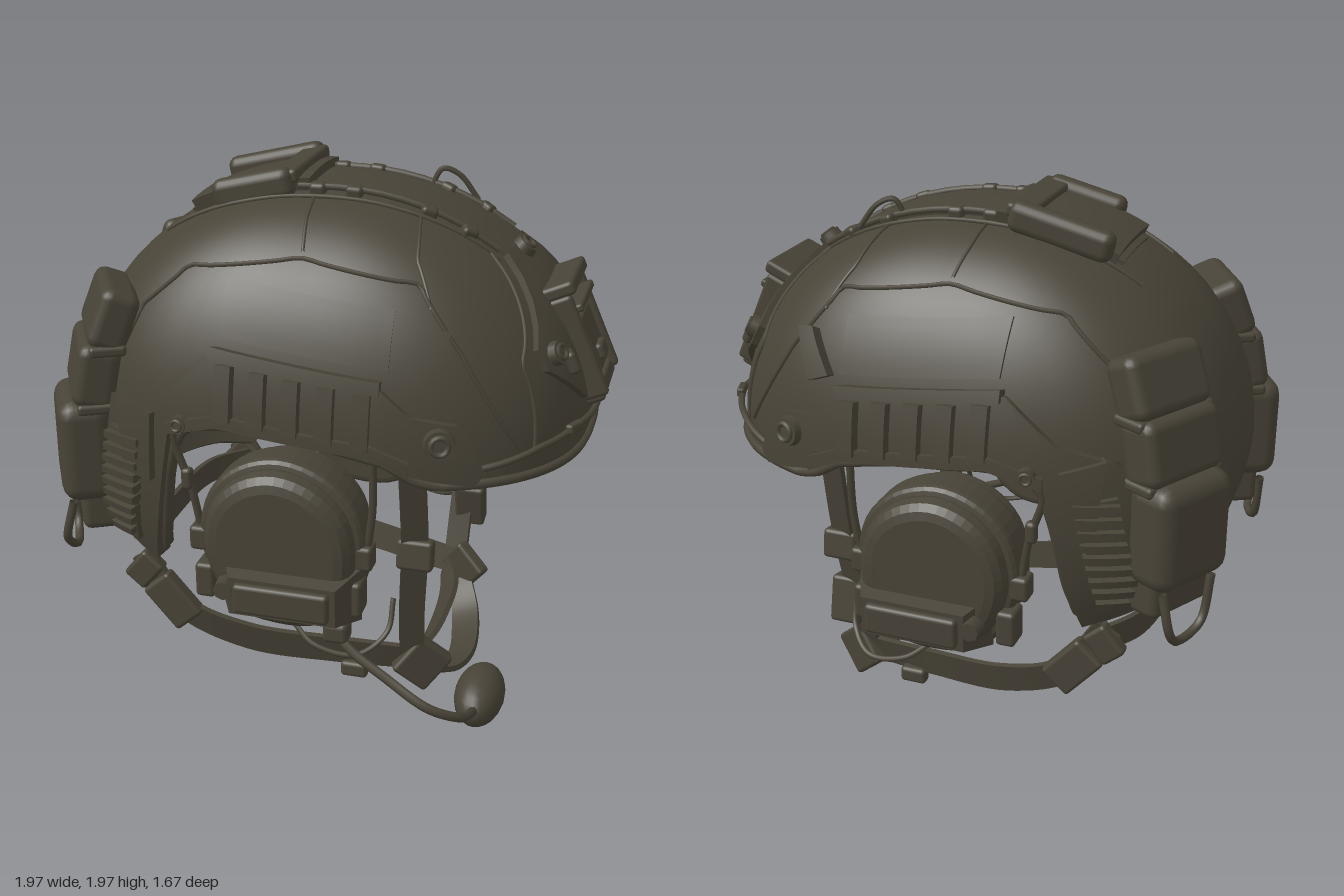
import * as THREE from 'three';
import { RoundedBoxGeometry } from 'three/addons/geometries/RoundedBoxGeometry.js';

const olive = new THREE.MeshStandardMaterial({ color: 0x484337, side: THREE.DoubleSide });
olive.name = 'dark olive';
const V = (x, y, z) => new THREE.Vector3(x, y, z);

// ---- helmet surface: front, back and half-width extents at each height
const N = 2.65, TOP = 1.9;
function extents(y) {
  const d = y - 1.1;
  if (d < 0) return { f: 0.94, b: 0.93 * (1 - 0.8 * d * d), w: 0.69 * (1 - 0.3 * d * d) };
  const c = Math.sqrt(Math.max(1e-6, 1 - (d / 0.8) ** 2));
  return { f: 0.94 * c ** 0.97, b: 0.93 * c ** 0.95, w: 0.69 * c ** 0.76 };
}
function field(x, y, z) {
  const e = extents(y);
  return Math.abs(x / (x > 0 ? e.f : e.b)) ** N + Math.abs(z / e.w) ** N - 1;
}
// point on the helmet along a ray from inside, lifted by off along the normal
function cast(o, d, off) {
  let lo = 0, hi = 1.3;
  const at = t => o.clone().addScaledVector(d, t);
  for (let i = 0; i < 30; i++) {
    const m = (lo + hi) / 2, p = at(m);
    if (p.y < TOP && field(p.x, p.y, p.z) < 0) lo = m; else hi = m;
  }
  const p = at(lo), h = 0.002, q = Math.min(p.y, TOP - 0.004);
  const n = V(field(p.x + h, q, p.z) - field(p.x - h, q, p.z),
    field(p.x, q + h, p.z) - field(p.x, q - h, p.z),
    field(p.x, q, p.z + h) - field(p.x, q, p.z - h)).normalize();
  p.addScaledVector(n, off);
  p.normal = n;
  return p;
}
const onSide = (x, y, off = 0) => cast(V(x, y, 0), V(0, 0, 1), off);
const onTop = (x, z, off = 0) => cast(V(x, 1.1, z), V(0, 1, 0), off);
const onFront = (z, y, off = 0) => cast(V(0, y, z), V(1, 0, 0), off);

// ---- helpers
function along(pts, u) {
  const t = u * (pts.length - 1), i = Math.min(pts.length - 2, Math.floor(t)), k = t - i;
  return pts[i].map((a, j) => a + (pts[i + 1][j] - a) * k);
}
function add(g, name, geo, x = 0, y = 0, z = 0, rx = 0, ry = 0, rz = 0) {
  const m = new THREE.Mesh(geo, olive);
  m.name = name;
  m.position.set(x, y, z);
  m.rotation.set(rx, ry, rz);
  g.add(m);
  return m;
}
const rbox = (w, h, d, r = 0.015) => new RoundedBoxGeometry(w, h, d, 2, r);
// box bent so that (u, v, w) follows fn
function bent(nu, nv, fn) {
  const geo = new THREE.BoxGeometry(1, 1, 1, nu, nv, 1), p = geo.attributes.position;
  for (let i = 0; i < p.count; i++) {
    const q = fn(p.getX(i) + 0.5, p.getY(i) + 0.5, p.getZ(i) + 0.5);
    p.setXYZ(i, q.x, q.y, q.z);
  }
  geo.computeVertexNormals();
  return geo;
}
// raised plate hugging the helmet between two edge lines
function plate(g, name, map, upper, lower, t, base = -0.02, nv = 6) {
  const nu = (upper.length - 1) * (upper.length > 2 ? 4 : 10);
  return add(g, name, bent(nu, nv, (u, v, w) => {
    const a = along(upper, u), b = along(lower, u);
    return map(b[0] + (a[0] - b[0]) * v, b[1] + (a[1] - b[1]) * v, base + (t - base) * w);
  }));
}
const rect = (x0, x1, y0, y1) => [[[x0, y1], [x1, y1]], [[x0, y0], [x1, y0]]];
function tube(g, name, pts, r, closed = false, n = pts.length * 8) {
  const c = new THREE.CatmullRomCurve3(pts.map(p => p.isVector3 ? p : V(...p)), closed);
  return add(g, name, new THREE.TubeGeometry(c, n, r, 7, closed));
}
function seam(g, name, map, pts, r = 0.008, off = 0.003) {
  const n = (pts.length - 1) * 5, list = [];
  for (let i = 0; i <= n; i++) list.push(map(...along(pts, i / n), off));
  return tube(g, name, list, r, false, n * 2);
}
// flat strap between two 3D edge curves
function strap(g, name, a, b, t = 0.02) {
  const ca = new THREE.CatmullRomCurve3(a.map(p => V(...p))), cb = new THREE.CatmullRomCurve3(b.map(p => V(...p)));
  return add(g, name, bent(a.length * 6, 1, (u, v, w) => {
    const p = ca.getPoint(u), q = cb.getPoint(u);
    const n = ca.getTangent(u).cross(p.clone().sub(q)).normalize();
    return q.lerp(p, v).addScaledVector(n, (w - 0.5) * t);
  }));
}
function stick(g, name, geo, p) {
  const m = add(g, name, geo, p.x, p.y, p.z);
  m.quaternion.setFromUnitVectors(V(0, 0, 1), p.normal);
}
function bolt(g, p, r) {
  stick(g, 'boltWasher', new THREE.CylinderGeometry(r, r * 1.1, 0.03, 16).rotateX(Math.PI / 2), p);
  stick(g, 'boltRing', new THREE.TorusGeometry(r * 0.6, r * 0.2, 6, 16).translate(0, 0, 0.018), p);
}

// ---- shell with high-cut ear openings: rim points (x, y) turned into (angle, y)
const RIM = [[0.94, 1.06], [0.5, 1.045], [0.42, 1.07], [0.35, 1.12], [0.12, 1.17], [-0.2, 1.2], [-0.34, 1.18], [-0.4, 1.12],
  [-0.43, 1], [-0.46, 0.8], [-0.49, 0.66], [-0.54, 0.6], [-0.66, 0.63], [-0.93, 0.66]].map(([x, y]) => {
  const e = extents(y), c = Math.min(1, Math.abs(x) / (x > 0 ? e.f : e.b)) ** (N / 2);
  return [Math.acos(Math.sign(x) * c), y];
});
function rimY(a) {
  const d = Math.abs(a), i = Math.max(1, RIM.findIndex(r => r[0] >= d - 1e-6));
  const [p, q] = [RIM[i - 1], RIM[i]];
  return p[1] + (q[1] - p[1]) * (d - p[0]) / (q[0] - p[0]);
}
function shellPoint(a, s, k = 0) {
  const r = rimY(a), y = r + (TOP - r) * Math.sin(s * Math.PI / 2), e = extents(y);
  const pw = v => Math.sign(v) * Math.abs(v) ** (2 / N), c = pw(Math.cos(a));
  return V(c * (c > 0 ? e.f : e.b) * (1 - k), r + (y - r) * (1 - k), pw(Math.sin(a)) * e.w * (1 - k));
}
function sheet(fn, nu, nv) {
  const pos = [], idx = [];
  for (let j = 0; j <= nv; j++) for (let i = 0; i <= nu; i++) {
    pos.push(...fn((i / nu * 2 - 1) * Math.PI, j / nv).toArray());
    const a = j * (nu + 1) + i, b = a + nu + 1;
    if (i < nu && j < nv) idx.push(a, b, a + 1, a + 1, b, b + 1);
  }
  const geo = new THREE.BufferGeometry();
  geo.setAttribute('position', new THREE.Float32BufferAttribute(pos, 3));
  geo.setIndex(idx);
  geo.computeVertexNormals();
  return geo;
}

function earCup(g) {
  const outline = [[0, 0.32], [0.16, 0.27], [0.27, 0.15], [0.3, -0.02], [0.26, -0.19], [0.14, -0.3], [-0.02, -0.32],
    [-0.16, -0.28], [-0.25, -0.17], [-0.3, 0], [-0.26, 0.17], [-0.15, 0.28]];
  const layer = (name, k, z, depth, bevel) => {
    const pts = new THREE.CatmullRomCurve3(outline.map(p => V(p[0] * k, p[1] * k, 0)), true).getPoints(48).slice(0, -1);
    add(g, name, new THREE.ExtrudeGeometry(new THREE.Shape(pts), { depth, bevelEnabled: true, bevelSize: bevel,
      bevelThickness: bevel, bevelOffset: -bevel, bevelSegments: 3 }), -0.02, 0.775, z);
  };
  layer('earCushion', 0.92, 0.5, 0.05, 0.03);
  layer('earCup', 1, 0.57, 0.09, 0.03);
  layer('earCupCap', 0.9, 0.67, 0.03, 0.06);
  // control box tapering outward
  add(g, 'earCupControlBox', bent(1, 1, (u, v, w) => V(0.02 + (u - 0.5) * (0.5 - 0.12 * w), 0.625 + (v - 0.5) * (0.2 - 0.06 * w), 0.68 + 0.13 * w)));
  add(g, 'earCupControlPlate', rbox(0.34, 0.11, 0.04), 0.02, 0.625, 0.815);
  add(g, 'earCupKnob', new THREE.CylinderGeometry(0.035, 0.04, 0.05, 8), -0.19, 0.64, 0.79, Math.PI / 2);
  for (const x of [-0.32, 0.27]) {
    add(g, 'wireSocket', rbox(0.07, 0.09, 0.08), x, 0.76, 0.65);
    add(g, 'sideBracket', rbox(0.07, 0.13, 0.1), x * 0.9, 0.62, 0.68);
  }
  tube(g, 'rearWireArm', [[-0.32, 0.78, 0.65], [-0.35, 0.95, 0.66], [-0.4, 1.12, 0.67], [-0.38, 1.2, 0.69]], 0.014);
  tube(g, 'frontWireArm', [[0.28, 0.78, 0.65], [0.3, 0.95, 0.66], [0.3, 1.18, 0.67]], 0.014);
  add(g, 'wireCollar', rbox(0.04, 0.08, 0.04), -0.36, 0.98, 0.665);
  tube(g, 'earCupCable', [[0.02, 0.46, 0.66], [0.1, 0.41, 0.7], [0.25, 0.38, 0.68], [0.34, 0.44, 0.6], [0.35, 0.55, 0.55]], 0.01);
}

function halfParts() {
  const g = new THREE.Group();
  // accessory rail around the opening
  plate(g, 'sideRail', onSide,
    [[-0.72, 0.7], [-0.63, 1.24], [-0.43, 1.3], [-0.26, 1.44], [0.3, 1.39], [0.42, 1.29], [0.58, 1.26], [0.65, 1.1]],
    [[-0.5, 0.62], [-0.44, 0.95], [-0.4, 1.17], [-0.24, 1.21], [0.3, 1.15], [0.42, 1.1], [0.5, 1.08], [0.62, 1.06]], 0.045);
  plate(g, 'railTopBar', onSide, [[-0.25, 1.46], [0.32, 1.4]], [[-0.25, 1.42], [0.32, 1.36]], 0.075);
  plate(g, 'railBottomBar', onSide, [[-0.4, 1.2], [-0.22, 1.25], [0.3, 1.2], [0.42, 1.15]],
    [[-0.4, 1.16], [-0.22, 1.21], [0.3, 1.16], [0.42, 1.1]], 0.07);
  for (let i = 0; i < 5; i++) {
    const x = -0.22 + i * 0.115, d = i * 0.012;
    plate(g, 'railRib', onSide, ...rect(x, x + 0.055, 1.235 - d, 1.41 - d), 0.085, 0, 3);
  }
  plate(g, 'rearRailPanel', onSide, [[-0.56, 1.0], [-0.58, 1.26]], [[-0.46, 0.98], [-0.45, 1.22]], 0.075);
  plate(g, 'rearRailBase', onSide, [[-0.7, 0.74], [-0.62, 1.14]], [[-0.55, 0.7], [-0.52, 1.12]], 0.065);
  for (let i = 0; i < 9; i++) {
    const y = 0.74 + i * 0.045, x = -0.68 + i * 0.007;
    plate(g, 'rearRailTooth', onSide, ...rect(x, x + 0.13, y, y + 0.025), 0.09, 0.02, 1);
  }
  bolt(g, onSide(0.51, 1.21, 0.055), 0.05);
  bolt(g, onSide(-0.35, 1.2, 0.06), 0.03);

  // cover panels and seams
  plate(g, 'hookPanel', onSide, [[-0.24, 1.67], [0.34, 1.61]], [[-0.23, 1.49], [0.34, 1.43]], 0.016);
  plate(g, 'frontSideTab', onSide, [[0.46, 1.55], [0.52, 1.54]], [[0.37, 1.42], [0.45, 1.39]], 0.04);
  seam(g, 'sideSeam', onSide, [[-0.68, 1.28], [-0.56, 1.54], [-0.4, 1.68], [0, 1.74], [0.4, 1.68], [0.56, 1.48], [0.76, 1.16]]);
  seam(g, 'crownSeam', onTop, [[-0.58, 0.2], [-0.3, 0.22], [0.3, 0.2], [0.62, 0.17]]);
  seam(g, 'crossSeam', onTop, [[-0.03, 0.2], [-0.02, 0.34], [0, 0.45]], 0.006);
  seam(g, 'frontCrossSeam', onTop, [[0.34, 0.18], [0.38, 0.4], [0.45, 0.5]], 0.006);
  for (const x of [-0.03, 0.1, 0.36, 0.5]) stick(g, 'crownClip', rbox(0.06, 0.05, 0.045), onTop(x, 0.16, 0.01));
  seam(g, 'crownCord', onTop, [[-0.1, 0.16], [0.6, 0.15]], 0.012, 0.018);

  // brim cord with clips
  seam(g, 'brimCord', onFront, [[0, 1.14], [0.28, 1.17], [0.45, 1.15], [0.58, 1.11]], 0.012, 0.02);
  stick(g, 'brimCordClip', rbox(0.09, 0.035, 0.03, 0.01), onFront(0.3, 1.17, 0.025));
  seam(g, 'frontDiagonalSeam', onFront, [[0.18, 1.72], [0.42, 1.42], [0.46, 1.12]], 0.007);

  // battery pouch on the rear corner
  const p = new THREE.Group();
  p.name = 'rearPouch';
  p.position.set(-0.82, 0, 0.5);
  p.rotation.y = Math.PI + 0.5;
  add(p, 'lowerPouch', rbox(0.19, 0.38, 0.34, 0.06), 0, 1.01, 0);
  add(p, 'pouchBase', rbox(0.14, 0.16, 0.28, 0.03), -0.04, 0.78, 0);
  add(p, 'middlePouch', rbox(0.15, 0.23, 0.34, 0.04), -0.05, 1.29, 0, 0, 0, 0.2);
  add(p, 'upperPouch', rbox(0.14, 0.22, 0.34, 0.04), -0.12, 1.49, 0, 0, 0, 0.38);
  for (const y of [1.18, 1.39]) add(p, 'pouchBand', rbox(0.13, 0.04, 0.35), -0.04 - (y - 1.18) * 0.25, y, 0);
  tube(p, 'pouchLoop', [[0.06, 0.82, -0.13], [0.09, 0.68, -0.12], [0.05, 0.6, -0.02], [0.04, 0.63, 0.09], [0.04, 0.8, 0.13]], 0.016);
  g.add(p);

  earCup(g);

  // retention straps
  strap(g, 'frontStrap', [[0.37, 1.1, 0.6], [0.37, 0.75, 0.53], [0.35, 0.45, 0.46], [0.34, 0.2, 0.39]],
    [[0.46, 1.1, 0.57], [0.46, 0.75, 0.5], [0.44, 0.45, 0.44], [0.43, 0.18, 0.37]]);
  add(g, 'frontStrapBuckle', rbox(0.13, 0.11, 0.06), 0.42, 0.72, 0.52, -0.15);
  strap(g, 'rearStrap', [[-0.56, 0.62, 0.55], [-0.42, 0.43, 0.55], [-0.2, 0.34, 0.52], [0.1, 0.3, 0.46], [0.38, 0.27, 0.4]],
    [[-0.64, 0.56, 0.53], [-0.48, 0.35, 0.53], [-0.22, 0.23, 0.5], [0.1, 0.19, 0.44], [0.36, 0.17, 0.38]]);
  add(g, 'rearStrapBuckle', rbox(0.2, 0.13, 0.06), -0.48, 0.42, 0.55, 0, 0, -0.85);
  add(g, 'rearStrapSlider', rbox(0.1, 0.13, 0.06), -0.59, 0.53, 0.54, 0, 0, -0.7);
  add(g, 'strapKeeper', rbox(0.1, 0.06, 0.05), 0.18, 0.17, 0.44);
  add(g, 'chinBuckle', rbox(0.16, 0.17, 0.06), 0.42, 0.2, 0.38, 0, 0.4, -0.7);
  return g;
}

export function createModel() {
  const model = new THREE.Group();
  model.name = 'helmet';
  add(model, 'shell', sheet((a, s) => shellPoint(a, s), 180, 22));
  add(model, 'shellLining', sheet((a, s) => shellPoint(a, s, 0.04), 180, 14));
  add(model, 'shellEdge', sheet((a, s) => shellPoint(a, 0, s * 0.04), 180, 1));
  const rim = [];
  for (let i = 0; i < 120; i++) rim.push(shellPoint((i / 60 - 1) * Math.PI, 0));
  tube(model, 'rimPiping', rim, 0.018, true, 240);

  for (const s of [1, -1]) {
    const half = halfParts();
    half.name = s > 0 ? 'leftSide' : 'rightSide';
    half.scale.z = s;
    model.add(half);
  }
  add(model, 'strapReleaseBuckle', rbox(0.12, 0.18, 0.08), 0.43, 0.46, -0.46, 0.2);

  // crown pad lying on the cover, with end rolls
  plate(model, 'crownPanel', onTop, [[-0.5, -0.17], [0.66, -0.15]], [[-0.5, 0.14], [0.66, 0.13]], 0.014);
  plate(model, 'crownPad', onTop, ...rect(-0.48, -0.06, 0.16, -0.2), 0.045);
  add(model, 'crownRoll', rbox(0.38, 0.11, 0.08, 0.035), -0.3, 1.885, -0.22, 0, 0, 0.24);
  add(model, 'crownRoll', rbox(0.3, 0.11, 0.08, 0.035), -0.26, 1.89, 0.18, 0, 0, 0.24);
  add(model, 'crownBar', rbox(0.1, 0.05, 0.42), -0.15, 1.935, -0.02, 0, 0, 0.2);
  tube(model, 'crownLoop', [[0.3, 1.85, -0.15], [0.34, 1.92, -0.16], [0.4, 1.9, -0.17], [0.47, 1.81, -0.18]], 0.01);

  // front mount: base plate, lugs and tilted bracket
  plate(model, 'mountBase', onFront, [[0.36, 1.45], [0.14, 1.7], [-0.14, 1.7], [-0.36, 1.45]],
    [[0.36, 1.38], [0.18, 1.23], [-0.18, 1.23], [-0.36, 1.38]], 0.025);
  for (const [z, y] of [[0, 1.68], [0.3, 1.42], [-0.3, 1.42]]) bolt(model, onFront(z, y, 0.035), 0.04);
  const mount = new THREE.Group();
  mount.name = 'frontMount';
  mount.position.set(0.87, 1.4, 0);
  mount.rotation.z = 0.42;
  add(mount, 'bracketBody', rbox(0.06, 0.4, 0.3), 0, 0, 0);
  add(mount, 'bracketTopBar', rbox(0.12, 0.05, 0.33), 0.03, 0.2, 0);
  add(mount, 'bracketLip', rbox(0.08, 0.03, 0.3, 0.01), 0.05, 0.12, 0);
  add(mount, 'bracketBottomBar', rbox(0.07, 0.06, 0.32), 0.015, -0.19, 0);
  add(mount, 'bracketLatch', rbox(0.05, 0.22, 0.2), 0.035, -0.03, 0);
  add(mount, 'latchButton', rbox(0.04, 0.06, 0.1), 0.06, -0.08, 0);
  for (const s of [1, -1]) {
    add(mount, 'bracketRail', rbox(0.09, 0.38, 0.04), 0.025, -0.01, s * 0.15);
    add(mount, 'bracketArm', rbox(0.04, 0.08, 0.14), 0, -0.02, s * 0.22, 0, s * 0.3);
  }
  model.add(mount);

  // nape strap and chin straps
  strap(model, 'napeStrap', [[-0.55, 0.56, 0.52], [-0.66, 0.57, 0.35], [-0.69, 0.57, 0], [-0.66, 0.57, -0.35], [-0.55, 0.56, -0.52]],
    [[-0.55, 0.46, 0.5], [-0.66, 0.47, 0.35], [-0.69, 0.47, 0], [-0.66, 0.47, -0.35], [-0.55, 0.46, -0.5]]);
  strap(model, 'chinStrap', [[0.36, 0.24, 0.39], [0.42, 0.22, 0.25], [0.44, 0.22, 0], [0.42, 0.22, -0.25], [0.36, 0.24, -0.39]],
    [[0.34, 0.16, 0.37], [0.36, 0.13, 0.25], [0.37, 0.12, 0], [0.36, 0.13, -0.25], [0.34, 0.16, -0.37]]);
  strap(model, 'chinCup', [[0.46, 0.17, 0.36], [0.52, 0.09, 0.22], [0.55, 0.05, 0], [0.52, 0.09, -0.22], [0.46, 0.17, -0.36]],
    [[0.38, 0.14, 0.35], [0.42, 0.05, 0.2], [0.45, 0.015, 0], [0.42, 0.05, -0.2], [0.38, 0.14, -0.35]]);

  // boom microphone on the left cup
  tube(model, 'microphoneBoom', [[0.17, 0.5, 0.7], [0.24, 0.44, 0.74], [0.38, 0.37, 0.78], [0.54, 0.3, 0.82],
    [0.64, 0.25, 0.77], [0.66, 0.18, 0.62]], 0.017);
  add(model, 'boomJoint', rbox(0.09, 0.08, 0.08, 0.02), 0.19, 0.49, 0.71);
  add(model, 'microphone', new THREE.SphereGeometry(1, 20, 14).scale(0.09, 0.095, 0.16), 0.655, 0.15, 0.46);
  return model;
}
